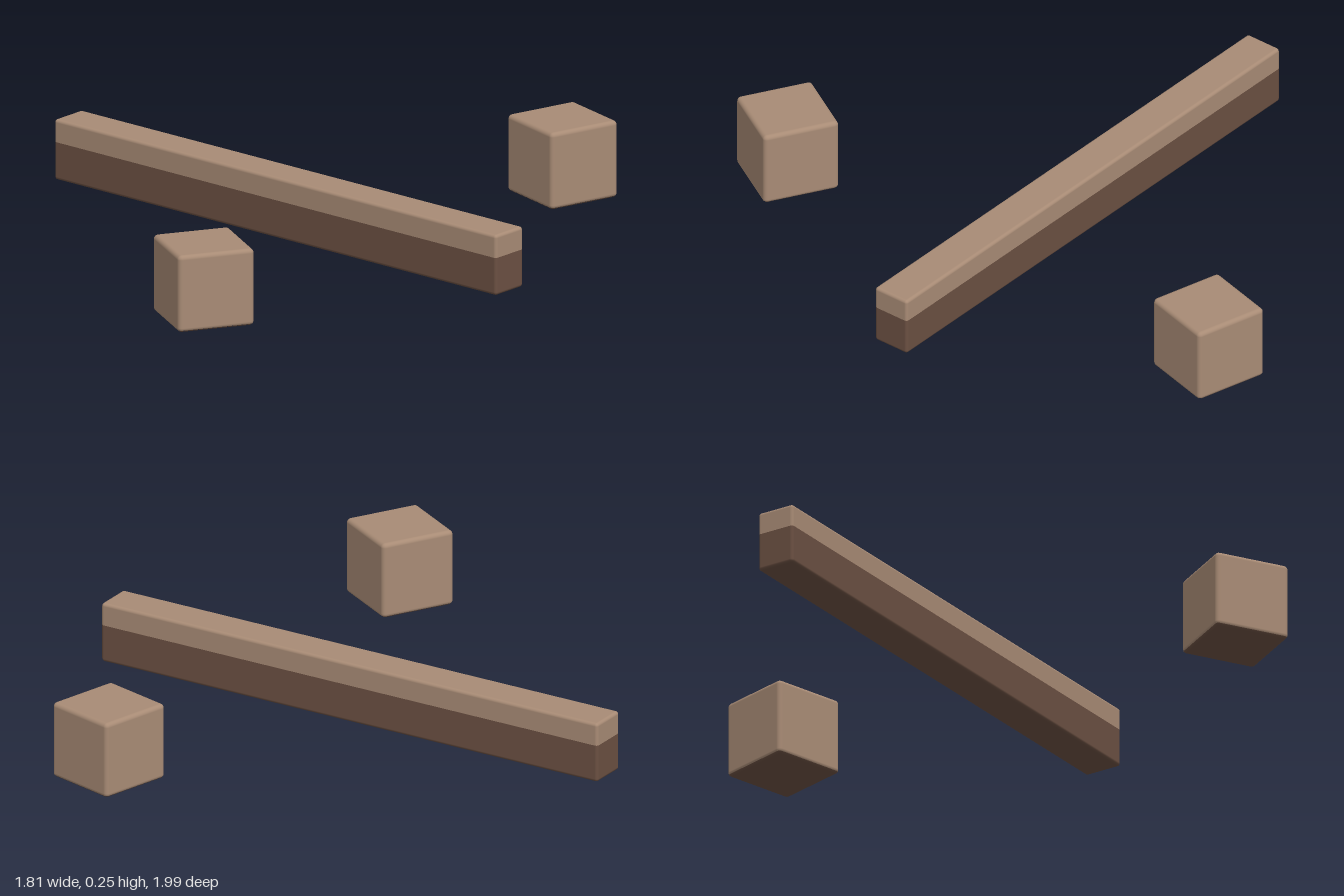
import * as THREE from 'three';
import { RoundedBoxGeometry } from 'three/addons/geometries/RoundedBoxGeometry.js';

const lightWood = new THREE.MeshStandardMaterial({ color: 0xa88b75 });
lightWood.name = 'lightWood';
const darkWood = new THREE.MeshStandardMaterial({ color: 0x6b5042 });
darkWood.name = 'darkWood';

// Keeps one side of a rounded box, flattening vertices onto the cut and dropping the hidden cap
function cutBox(box, cut, upper) {
  const geometry = box.clone();
  const pos = geometry.attributes.position;
  for (let i = 0; i < pos.count; i++) {
    const y = pos.getY(i);
    pos.setY(i, upper ? Math.max(y, cut) : Math.min(y, cut));
  }
  const index = [];
  const onCut = (i) => Math.abs(pos.getY(i) - cut) < 1e-6;
  for (let i = 0; i < pos.count; i += 3) {
    if (!(onCut(i) && onCut(i + 1) && onCut(i + 2))) index.push(i, i + 1, i + 2);
  }
  geometry.setIndex(index);
  return geometry;
}

// Rounded timber, standing at y = base, painted dark below the given height
function timber(name, [w, h, d], radius, darkHeight, base) {
  const group = new THREE.Group();
  group.name = name;
  const box = new RoundedBoxGeometry(w, h, d, 3, radius);
  const cut = darkHeight - h / 2;
  for (const upper of [true, false]) {
    const mesh = new THREE.Mesh(cutBox(box, cut, upper), upper ? lightWood : darkWood);
    mesh.name = name + (upper ? 'Top' : 'Bottom');
    group.add(mesh);
  }
  group.position.y = base + h / 2;
  return group;
}

export function createModel() {
  const model = new THREE.Group();
  model.name = 'beamAndBlocks';

  // Long two-tone beam
  const beam = timber('beam', [1.81, 0.195, 0.128], 0.01, 0.122, 0);
  beam.position.z = -0.008;
  model.add(beam);

  // Two loose blocks, each turned a little
  for (const [name, z, turn] of [['frontBlock', 0.832, 30], ['backBlock', -0.85, 15]]) {
    const block = timber(name, [0.248, 0.248, 0.248], 0.014, 0.006, 0.006);
    block.position.x = 0.386;
    block.position.z = z;
    block.rotation.y = -THREE.MathUtils.degToRad(turn);
    model.add(block);
  }
  return model;
}
